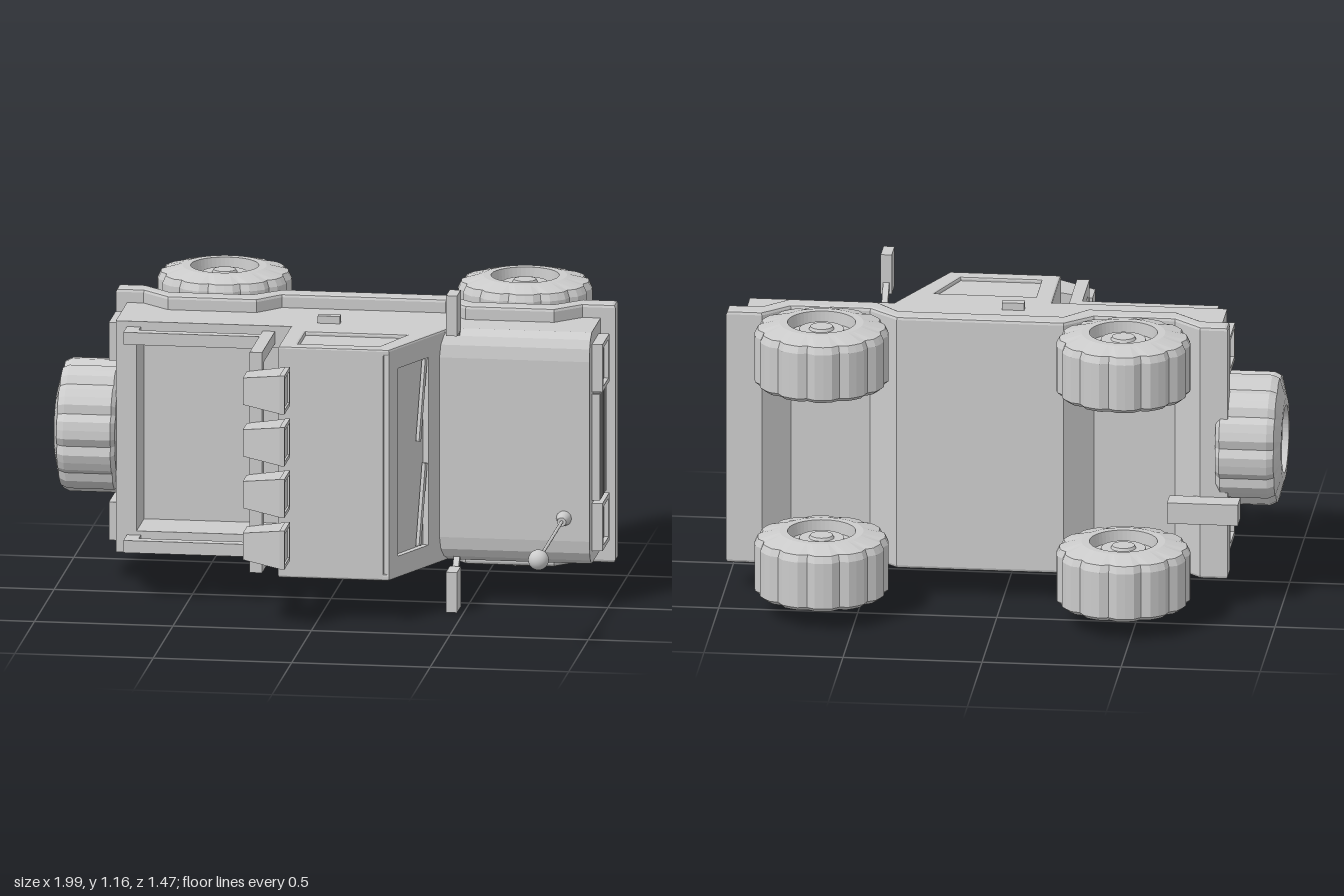
import * as THREE from 'three';

const flat = new THREE.MeshStandardMaterial({ color: 0xcccccc, flatShading: true });
const smooth = new THREE.MeshStandardMaterial({ color: 0xcccccc });

function add(parent, name, geometry, x = 0, y = 0, z = 0, material = flat) {
  const mesh = new THREE.Mesh(geometry, material);
  mesh.name = name;
  mesh.position.set(x, y, z);
  parent.add(mesh);
  return mesh;
}

// box given by its limits on each axis
function box(parent, name, x0, x1, y0, y1, z0, z1) {
  return add(parent, name, new THREE.BoxGeometry(x1 - x0, y1 - y0, z1 - z0),
    (x0 + x1) / 2, (y0 + y1) / 2, (z0 + z1) / 2);
}

// outline extruded from z0 to z1, optional hole and bevel
function prism(points, z0, z1, bevel = 0, hole = null) {
  const v = (list) => list.map(([x, y]) => new THREE.Vector2(x, y));
  const shape = new THREE.Shape(v(points));
  if (hole) shape.holes.push(new THREE.Path(v(hole)));
  const g = new THREE.ExtrudeGeometry(shape, {
    depth: z1 - z0 - 2 * bevel, bevelEnabled: bevel > 0, bevelThickness: bevel,
    bevelSize: bevel, bevelOffset: -bevel, bevelSegments: 2,
  });
  return g.translate(0, 0, z0 + bevel);
}

const rect = (w, h) => [[-w / 2, -h / 2], [w / 2, -h / 2], [w / 2, h / 2], [-w / 2, h / 2]];

// lamp with a raised rim, facing local +z
function lamp(name, w, h, depth, rim = 0.017) {
  const g = new THREE.Group();
  g.name = name;
  add(g, name + 'Rim', prism(rect(w, h), 0, depth, 0, rect(w - 2 * rim, h - 2 * rim)));
  add(g, name + 'Lens', new THREE.BoxGeometry(w - rim, h - rim, depth * 0.6), 0, 0, depth * 0.3);
  return g;
}

// tyre and hub in one turned profile, with lugs pushed in and out; hub faces +z
function wheelGeometry() {
  const profile = [[0, -0.03], [0.125, -0.03], [0.125, -0.115], [0.222, -0.115], [0.24, -0.1],
    [0.24, 0.07], [0.228, 0.095], [0.15, 0.115], [0.122, 0.115], [0.118, 0.07], [0.085, 0.07],
    [0.08, 0.09], [0.045, 0.09], [0.04, 0.1], [0, 0.1]].map(([r, y]) => new THREE.Vector2(r, y));
  const g = new THREE.LatheGeometry(profile, 48);
  const p = g.attributes.position;
  for (let i = 0; i < p.count; i++) {
    const r = Math.hypot(p.getX(i), p.getZ(i));
    const column = Math.floor(i / profile.length);
    if (r > 0.2 && column % 4 === 3) {
      p.setX(i, p.getX(i) * 0.94);
      p.setZ(i, p.getZ(i) * 0.94);
    }
  }
  return g.rotateX(Math.PI / 2);
}

export function createModel() {
  const model = new THREE.Group();
  model.name = 'pickupTruck';
  // The truck is built upright (forward +x, up +y), then laid on its side.
  const truck = new THREE.Group();
  truck.name = 'truck';
  truck.rotation.x = Math.PI / 2;
  truck.position.y = 0.584;
  model.add(truck);

  // Full-width sill that steps over the wheels
  const low = [[-0.81, 0], [-0.71, 0], [-0.61, 1], [-0.32, 1], [-0.22, 0],
    [0.38, 0], [0.485, 1], [0.77, 1], [0.865, 0], [0.993, 0]];
  const high = [[-0.81, 0], [-0.71, 0], [-0.61, 1], [-0.29, 1], [-0.21, 0],
    [0.38, 0], [0.465, 1], [0.785, 1], [0.875, 0], [0.993, 0]];
  const sill = [...low.map(([x, s]) => [x, -0.31 + 0.09 * s]),
    ...high.map(([x, s]) => [x, -0.235 + 0.09 * s]).reverse()];
  add(truck, 'fenderSill', prism(sill, -0.475, 0.475, 0.012));

  // Front body and hood
  const lower = [[-0.15, -0.27], [0.38, -0.27], [0.475, -0.18], [0.78, -0.18], [0.87, -0.27],
    [0.94, -0.27], [0.94, -0.01], [-0.15, -0.01]];
  add(truck, 'lowerBody', prism(lower, -0.425, 0.425));
  const hoodHalf = [[0.425, -0.02], [0.425, -0.01], [0.405, 0.025], [0.375, 0.044], [0.33, 0.052]];
  const hood = [...hoodHalf, ...hoodHalf.map(([x, y]) => [-x, y]).reverse()];
  add(truck, 'hood', prism(hood, 0.36, 0.94)).rotation.y = Math.PI / 2;

  // Cab: core, side skins with window openings, windshield frame
  add(truck, 'cabCore', prism([[-0.14, -0.02], [0.395, -0.02], [0.375, 0.05], [0.238, 0.36],
    [-0.14, 0.36]], -0.41, 0.41));
  const cabSide = [[-0.14, -0.02], [0.43, -0.02], [0.4, 0.05], [0.26, 0.36], [-0.14, 0.36]];
  const sideWindow = [[-0.075, 0.115], [0.29, 0.115], [0.215, 0.305], [-0.075, 0.305]];
  for (const s of [-1, 1]) {
    add(truck, 'cabSide', prism(cabSide, -0.0125, 0.0125, 0.008, sideWindow), 0, 0, s * 0.4125);
  }
  const shield = new THREE.Group();
  shield.name = 'windshield';
  const slope = new THREE.Vector3(-0.14, 0.31, 0).normalize();
  const outward = new THREE.Vector3(0.31, 0.14, 0).normalize();
  shield.quaternion.setFromRotationMatrix(
    new THREE.Matrix4().makeBasis(new THREE.Vector3(0, 0, -1), slope, outward));
  shield.position.set(0.4, 0.05, 0);
  truck.add(shield);
  add(shield, 'windshieldFrame', prism([[-0.415, -0.06], [0.415, -0.06], [0.415, 0.34], [-0.415, 0.34]],
    -0.025, 0, 0, [[-0.345, 0.077], [0.345, 0.077], [0.345, 0.28], [-0.345, 0.28]]));
  for (const x of [0.195, -0.19]) {
    const wiper = add(shield, 'wiper', new THREE.BoxGeometry(0.3, 0.014, 0.014), x, 0.108, -0.009);
    wiper.rotation.z = -0.14;
  }

  // Cargo bed
  const bedSide = [[-0.77, -0.27], [-0.71, -0.27], [-0.61, -0.18], [-0.3, -0.18], [-0.215, -0.27],
    [-0.13, -0.27], [-0.13, 0.05], [-0.77, 0.05]];
  for (const s of [-1, 1]) add(truck, 'bedSide', prism(bedSide, -0.04, 0.04), 0, 0, s * 0.385);
  box(truck, 'tailgate', -0.77, -0.695, -0.27, 0.05, -0.345, 0.345);
  box(truck, 'bedFloor', -0.7, -0.13, -0.2, -0.14, -0.345, 0.345);

  // Roll bar with side rails
  for (const s of [-1, 1]) {
    const a = s > 0 ? 0.36 : -0.405, b = a + 0.045;
    box(truck, 'railPost', -0.73, -0.68, 0.05, 0.14, a, b);
    box(truck, 'rail', -0.68, -0.24, 0.1, 0.14, a, b);
    box(truck, 'rollBarPost', -0.24, -0.195, 0.05, 0.38, a, b);
  }
  box(truck, 'rollBarTop', -0.24, -0.195, 0.335, 0.38, -0.36, 0.36);

  // Roof lights, wider at the front
  for (let i = 0; i < 4; i++) {
    const g = new THREE.BoxGeometry(0.14, 0.14, 0.14);
    const p = g.attributes.position;
    for (let k = 0; k < p.count; k++) {
      if (p.getX(k) < 0) {
        p.setZ(k, p.getZ(k) * 0.7);
        if (p.getY(k) > 0) p.setY(k, 0.03);
      }
    }
    const z = (i - 1.5) * 0.19;
    add(truck, 'roofLight', g, -0.18, 0.453, z);
    const face = lamp('roofLightFace', 0.142, 0.142, 0.018, 0.014);
    face.rotation.y = Math.PI / 2;
    face.position.set(-0.112, 0.453, z);
    truck.add(face);
  }

  // Headlights, tail lights and grille
  for (const s of [-1, 1]) {
    const head = lamp('headlight', 0.175, 0.17, 0.04);
    head.rotation.y = Math.PI / 2;
    head.position.set(0.938, -0.103, s * 0.292);
    const tail = lamp('tailLight', 0.14, 0.17, 0.038);
    tail.rotation.y = -Math.PI / 2;
    tail.position.set(-0.768, -0.11, s * 0.33);
    truck.add(head, tail);
  }
  for (let i = 0; i < 6; i++) {
    const y = -0.175 + i * 0.029;
    box(truck, 'grilleBar', 0.935, 0.968, y - 0.008, y + 0.008, -0.195, 0.195);
  }

  // Mirrors and door handles
  for (const s of [-1, 1]) {
    const mirror = new THREE.BoxGeometry(0.04, 0.095, 0.148);
    add(truck, 'mirror', mirror, 0.457, 0.107, s * 0.508);
    const arm = add(truck, 'mirrorArm', new THREE.BoxGeometry(0.022, 0.022, 0.11), 0.457, 0.03, s * 0.43);
    arm.rotation.x = -s * 0.75;
    add(truck, 'doorHandle', new THREE.BoxGeometry(0.08, 0.032, 0.03), -0.01, -0.03, s * 0.437);
  }

  // Exhaust
  box(truck, 'exhaust', -0.855, -0.6, -0.39, -0.305, 0.165, 0.243);

  // Antenna
  add(truck, 'antennaBase', new THREE.CylinderGeometry(0.016, 0.028, 0.06, 20), 0.848, 0.08, 0.247, smooth);
  add(truck, 'antennaRod', new THREE.CylinderGeometry(0.006, 0.006, 0.58, 10), 0.848, 0.38, 0.247, smooth);
  add(truck, 'antennaBall', new THREE.SphereGeometry(0.037, 24, 16), 0.848, 0.697, 0.247, smooth);

  // Wheels, all turned the same way, and the spare on the tail
  const wheel = wheelGeometry();
  for (const x of [-0.455, 0.63]) {
    for (const z of [0.392, -0.396]) {
      add(truck, 'wheel', wheel, x, -0.5, z).rotation.y = Math.PI;
    }
  }
  add(truck, 'spareWheel', wheel, -0.882, -0.12, 0).rotation.y = -Math.PI / 2;

  return model;
}
